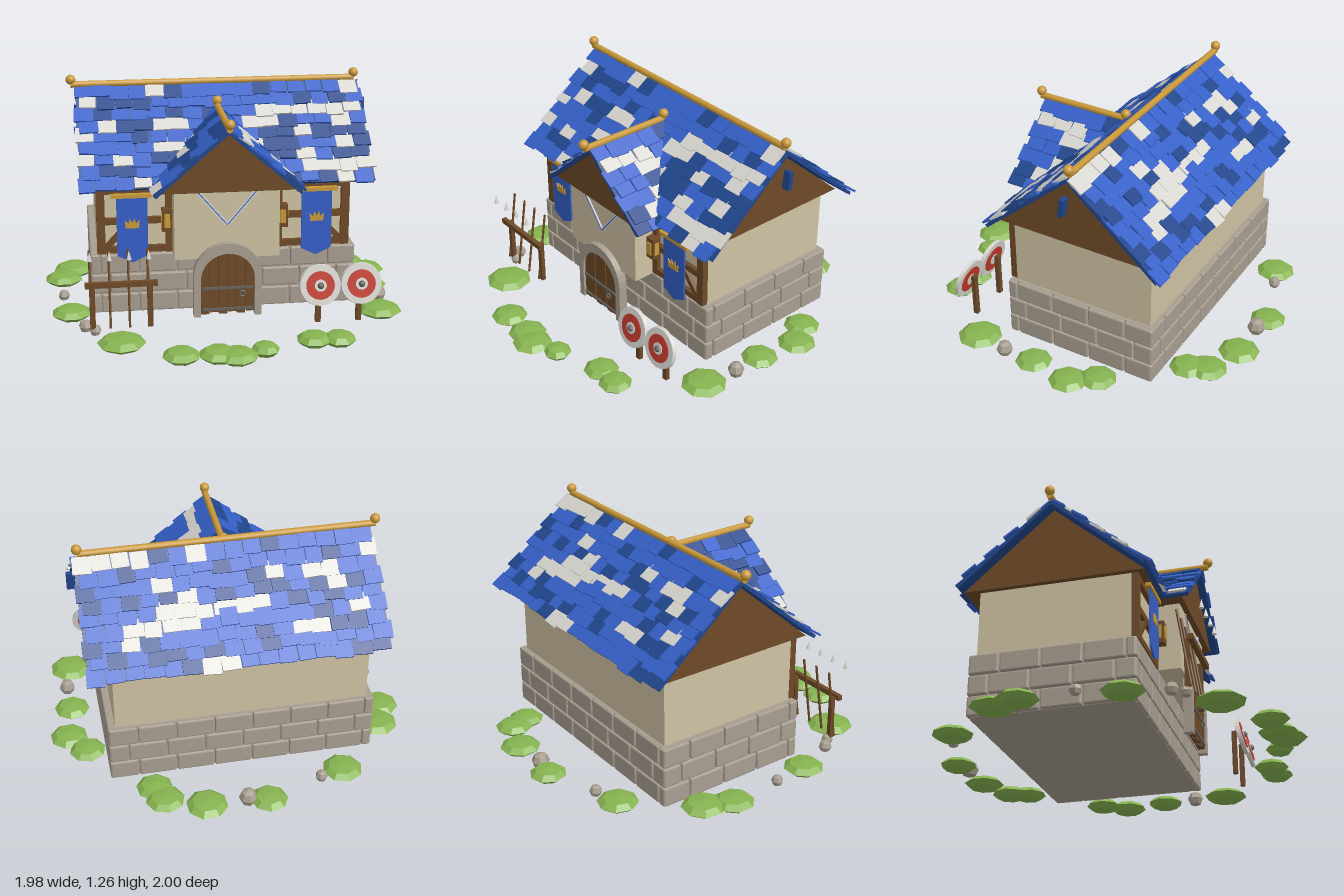
import * as THREE from 'three';
import { mergeGeometries } from 'three/addons/utils/BufferGeometryUtils.js';
import { RoundedBoxGeometry } from 'three/addons/geometries/RoundedBoxGeometry.js';

const mat = (name, color, flat = false) => {
  const m = new THREE.MeshStandardMaterial({ color, flatShading: flat });
  m.name = name;
  return m;
};

export function createModel() {
  const M = {
    stone: mat('stone', 0xa89e90, true), plaster: mat('plaster', 0xcfc2a3), timber: mat('timber', 0x6e4a27),
    gold: mat('gold', 0xc9993a), blue: mat('blue', 0x3560c8), darkBlue: mat('dark blue', 0x21468c),
    white: mat('white', 0xd8d6d0), green: mat('leaf green', 0x86b350, true), red: mat('red', 0xc23a2c),
    iron: mat('iron', 0x66645f),
  };
  const root = new THREE.Group();
  root.name = 'house';
  let seed = 11;
  const rnd = () => (seed = (seed * 16807) % 2147483647) / 2147483647;
  const jit = (a) => (rnd() - 0.5) * 2 * a;
  const CX = -0.02; // centre line of the building

  const add = (name, geo, m, x = 0, y = 0, z = 0, parent = root) => {
    const mesh = new THREE.Mesh(geo, m);
    mesh.name = name;
    mesh.position.set(x, y, z);
    parent.add(mesh);
    return mesh;
  };
  const box = (name, m, w, h, d, x, y, z, parent) => add(name, new THREE.BoxGeometry(w, h, d), m, x, y, z, parent);
  const group = (name) => {
    const g = new THREE.Group();
    g.name = name;
    root.add(g);
    return g;
  };
  const V = (x, y, z) => new THREE.Vector3(x, y, z);
  // round bar between two points
  const bar = (name, m, a, b, r, parent, sides = 8) => {
    const mid = a.clone().add(b).multiplyScalar(0.5);
    const mesh = add(name, new THREE.CylinderGeometry(r, r, a.distanceTo(b), sides), m, mid.x, mid.y, mid.z, parent);
    mesh.quaternion.setFromUnitVectors(V(0, 1, 0), b.clone().sub(a).normalize());
    return mesh;
  };
  const extrude = (points, depth) => new THREE.ExtrudeGeometry(
    new THREE.Shape(points.map(([x, y]) => new THREE.Vector2(x, y))), { depth, bevelEnabled: false });

  // walls
  box('foundation', M.stone, 1.4, 0.335, 0.85, CX, 0.2175, -0.16);
  box('upperWalls', M.plaster, 1.36, 0.39, 0.825, CX, 0.575, -0.158);
  box('entranceBay', M.plaster, 0.56, 0.38, 0.3, CX, 0.575, 0.25);

  // stone courses around the foundation
  const bricks = [];
  const brickRow = (len, n, offset, place) => {
    const w = len / n;
    for (let i = -1; i < n; i++) {
      const a = Math.max(0, (i + offset) * w), b = Math.min(len, (i + 1 + offset) * w);
      if (b - a < 0.02) continue;
      const g = new RoundedBoxGeometry(b - a - 0.007, 0.106, 0.05, 1, 0.008);
      g.translate((a + b) / 2 - len / 2, 0, 0);
      bricks.push(place(g));
    }
  };
  for (let r = 0; r < 3; r++) {
    const y = 0.105 + r * 0.113, o = r % 2 ? 0.5 : 0.25;
    for (const s of [1, -1]) {
      brickRow(1.44, 7, o, (g) => g.translate(CX, y, -0.16 + s * 0.415));
      brickRow(0.88, 4, o, (g) => g.rotateY(Math.PI / 2).translate(CX + s * 0.695, y, -0.16));
    }
  }
  add('stoneCourses', mergeGeometries(bricks), M.stone);

  // gables under the roofs
  add('mainGable', extrude([[-0.485, 0.755], [0.485, 0.755], [0, 1.175]], 1.42)
    .rotateY(-Math.PI / 2), M.timber, CX + 0.71, 0, -0.165);
  add('dormerGable', extrude([[-0.365, 0.76], [0.365, 0.76], [0, 1.08]], 0.45), M.timber, CX, 0, -0.02);

  // roof slope: a sheet with overlapping crooked tiles
  const roofSlope = (name, eave, ridge, along, len, rows, keep = () => true) => {
    const g = group(name);
    const up = ridge.clone().sub(eave), h = up.length();
    up.normalize();
    const normal = along.clone().cross(up);
    const basis = new THREE.Matrix4().makeBasis(along, up, normal);
    const sheet = new THREE.BoxGeometry(len, h, 0.018).applyMatrix4(basis);
    const c = eave.clone().add(ridge).multiplyScalar(0.5);
    add('roofSheet', sheet, M.darkBlue, c.x, c.y, c.z, g);
    const sets = { blue: [], darkBlue: [], white: [] };
    const n = Math.round(len / 0.098), w = len / n, step = h / rows;
    let wasWhite = false;
    for (let r = 0; r < rows; r++) for (let i = 0; i < n; i++) {
      const u = (i + 0.5) * w - len / 2 + (r % 2 ? 0.012 : -0.012);
      const v = (r + 0.45) * step + jit(0.013);
      const p = eave.clone().addScaledVector(along, u).addScaledVector(up, v).addScaledVector(normal, 0.019 + jit(0.003));
      const pick = rnd();
      wasWhite = pick < (wasWhite ? 0.42 : 0.13);
      if (!keep(p)) continue;
      const tile = new THREE.BoxGeometry(w * (0.98 + jit(0.12)), step * 1.3, 0.011)
        .rotateX(-0.09).rotateZ(jit(0.06)).applyMatrix4(basis).translate(p.x, p.y, p.z);
      sets[wasWhite ? 'white' : pick > 0.72 ? 'darkBlue' : 'blue'].push(tile);
    }
    for (const k in sets) if (sets[k].length) add(k + 'Tiles', mergeGeometries(sets[k]), M[k], 0, 0, 0, g);
  };
  const RZ = -0.165, RY = 1.195;
  roofSlope('frontRoof', V(0, 0.765, 0.335), V(0, RY, RZ), V(1, 0, 0), 1.57, 9);
  roofSlope('backRoof', V(0, 0.765, -0.665), V(0, RY, RZ), V(-1, 0, 0), 1.57, 9);
  const aboveMain = (p) => p.z > RZ + (RY - p.y) * 1.163 - 0.03;
  roofSlope('dormerRoofLeft', V(CX + 0.385, 0.755, 0.215), V(CX, 1.09, 0.215), V(0, 0, -1), 0.51, 7, aboveMain);
  roofSlope('dormerRoofRight', V(CX - 0.385, 0.755, 0.215), V(CX, 1.09, 0.215), V(0, 0, 1), 0.51, 7, aboveMain);
  box('looseTile', M.darkBlue, 0.045, 0.1, 0.025, 0.805, 1.055, -0.152).rotation.x = -0.12;

  // gilded ridge poles with ball ends
  const ridgePole = (a, b) => {
    const g = group('ridgePole');
    bar('pole', M.gold, a, b, 0.018, g, 10);
    for (const p of [a, b]) add('ball', new THREE.SphereGeometry(0.027, 14, 10), M.gold, p.x, p.y + 0.027, p.z, g);
  };
  ridgePole(V(-0.81, 1.22, RZ), V(0.765, 1.22, RZ));
  ridgePole(V(CX, 1.113, -0.03), V(CX, 1.113, 0.505));

  // timber framing, banners and lanterns, mirrored about the bay
  for (const s of [-1, 1]) {
    const f = group('timberFrame');
    box('cornerPost', M.timber, 0.045, 0.37, 0.035, CX + s * 0.66, 0.575, 0.263, f);
    box('innerPost', M.timber, 0.035, 0.37, 0.035, CX + s * 0.297, 0.575, 0.263, f);
    for (const [y, h] of [[0.41, 0.035], [0.57, 0.035], [0.74, 0.035]])
      box('beam', M.timber, 0.4, h, 0.032, CX + s * 0.48, y, 0.263, f);
    box('brace', M.timber, 0.03, 0.2, 0.028, CX + s * 0.57, 0.49, 0.263, f).rotation.z = s * 0.75;

    const b = group('banner'), bx = CX + s * 0.495;
    add('cloth', extrude([[-0.082, 0.71], [-0.082, 0.39], [0, 0.35], [0.082, 0.39], [0.082, 0.71]], 0.009), M.blue, bx, 0, 0.308, b);
    box('rod', M.gold, 0.22, 0.02, 0.03, bx, 0.722, 0.31, b);
    add('crown', extrude([[-0.035, 0], [0.035, 0], [0.04, 0.045], [0.02, 0.025], [0.013, 0.055], [0, 0.028],
      [-0.013, 0.055], [-0.02, 0.025], [-0.04, 0.045]], 0.006), M.gold, bx, 0.545, 0.317, b);

    const l = group('lantern'), lx = CX + s * 0.31;
    box('case', M.timber, 0.055, 0.125, 0.05, lx, 0.58, 0.3, l);
    box('glow', M.gold, 0.03, 0.075, 0.064, lx, 0.58, 0.3, l);
    box('glowSide', M.gold, 0.062, 0.075, 0.028, lx, 0.58, 0.3, l);

    // chevron on the bay
    box('chevron', M.white, 0.02, 0.235, 0.008, CX + s * 0.078, 0.665, 0.403).rotation.z = -s * 0.7;
    box('chevronLine', M.blue, 0.005, 0.235, 0.008, CX + s * 0.078, 0.665, 0.405).rotation.z = -s * 0.7;
  }

  // arched doorway
  const arch = (r, y0, spring) => {
    const pts = [[-r, y0], [r, y0]];
    for (let i = 0; i <= 16; i++) pts.push([r * Math.cos(i * Math.PI / 16), spring + r * Math.sin(i * Math.PI / 16)]);
    return pts;
  };
  const outer = arch(0.182, 0.065, 0.295).slice(2), inner = arch(0.145, 0.065, 0.275).slice(2);
  add('doorFrame', extrude([[0.145, 0.065], [0.182, 0.065], ...outer, [-0.182, 0.065], [-0.145, 0.065],
    ...inner.reverse()], 0.05), M.stone, CX, 0, 0.385);
  const door = group('door');
  const top = (x) => 0.275 + Math.sqrt(Math.max(0, 0.146 ** 2 - x * x));
  for (let i = 0; i < 6; i++) {
    const a = -0.145 + i * 0.0483 + 0.002, b = a + 0.0443, y = 0.075 + (i % 2) * 0.012;
    add('plank', extrude([[a, y], [b, y], [b, top(b)], [(a + b) / 2, top((a + b) / 2)], [a, top(a)]], 0.02),
      M.timber, CX, 0, 0.402 + (i % 2) * 0.004, door);
  }
  box('doorBacking', M.timber, 0.286, 0.19, 0.01, CX, 0.18, 0.397, door);
  for (const y of [0.105, 0.225]) box('strap', M.iron, 0.27, 0.014, 0.008, CX, y, 0.429, door);
  add('handle', new THREE.TorusGeometry(0.016, 0.005, 6, 12), M.iron, CX + 0.08, 0.19, 0.432, door);

  // shields on posts
  for (const x of [0.45, 0.67]) {
    const g = group('shieldStand');
    box('post', M.timber, 0.028, 0.25, 0.025, x, 0.175, 0.53, g);
    const s = new THREE.Group();
    s.name = 'shield';
    s.position.set(x, 0.273, 0.57);
    s.rotation.x = Math.PI / 2 - 0.22;
    g.add(s);
    for (const [r, h, m, n] of [[0.112, 0.022, M.white, 'rim'], [0.078, 0.03, M.red, 'ring'], [0.033, 0.038, M.white, 'centre']])
      add(n, new THREE.CylinderGeometry(r * 0.97, r, h, 24), m, 0, 0, 0, s);
    add('boss', new THREE.SphereGeometry(0.018, 10, 8), M.iron, 0, 0.018, 0, s);
  }

  // spear rack
  const rack = group('spearRack');
  box('rail', M.timber, 0.375, 0.028, 0.026, -0.59, 0.325, 0.555, rack);
  for (const x of [-0.74, -0.44]) box('rackPost', M.timber, 0.026, 0.25, 0.024, x, 0.2, 0.53, rack);
  for (const x of [-0.75, -0.65, -0.55, -0.45]) {
    bar('spearShaft', M.timber, V(x, 0.08, 0.55), V(x, 0.49, 0.485), 0.007, rack, 6);
    add('spearTip', new THREE.ConeGeometry(0.014, 0.05, 6), M.white, x, 0.505, 0.61, rack);
  }

  // bushes and rocks around the house: x, z, radius
  const blob = (name, m, x, y, z, r, sy, sides) => {
    const mesh = add(name, new THREE.SphereGeometry(r, sides, 4), m, x, y, z);
    mesh.scale.y = sy;
    mesh.rotation.y = rnd() * 6;
  };
  for (const [x, z, r] of [[-0.54, -0.75, 0.11], [-0.1, -0.9, 0.1], [0.23, -0.88, 0.112], [0.44, -0.8, 0.105],
    [0.48, -0.7, 0.1], [-0.83, -0.42, 0.118], [-0.89, -0.27, 0.11], [-0.85, 0.24, 0.11], [0.8, -0.34, 0.1],
    [0.89, -0.21, 0.105], [0.85, 0.03, 0.1], [0.82, 0.4, 0.122], [-0.6, 0.66, 0.128], [-0.31, 0.85, 0.1],
    [-0.12, 0.86, 0.105], [-0.03, 0.89, 0.108], [0.12, 0.83, 0.075], [0.39, 0.74, 0.095], [0.52, 0.75, 0.09]])
    blob('bush', M.green, x, 0.046, z, r, 0.036 / r, 8);
  for (const [x, z, r] of [[-0.41, -0.8, 0.034], [0.01, -0.88, 0.05], [-0.89, 0.02, 0.032], [0.86, 0.21, 0.045],
    [-0.78, 0.46, 0.036], [-0.73, 0.52, 0.032]])
    blob('rock', M.stone, x, 0.06, z, r, 1, 7);
  return root;
}
